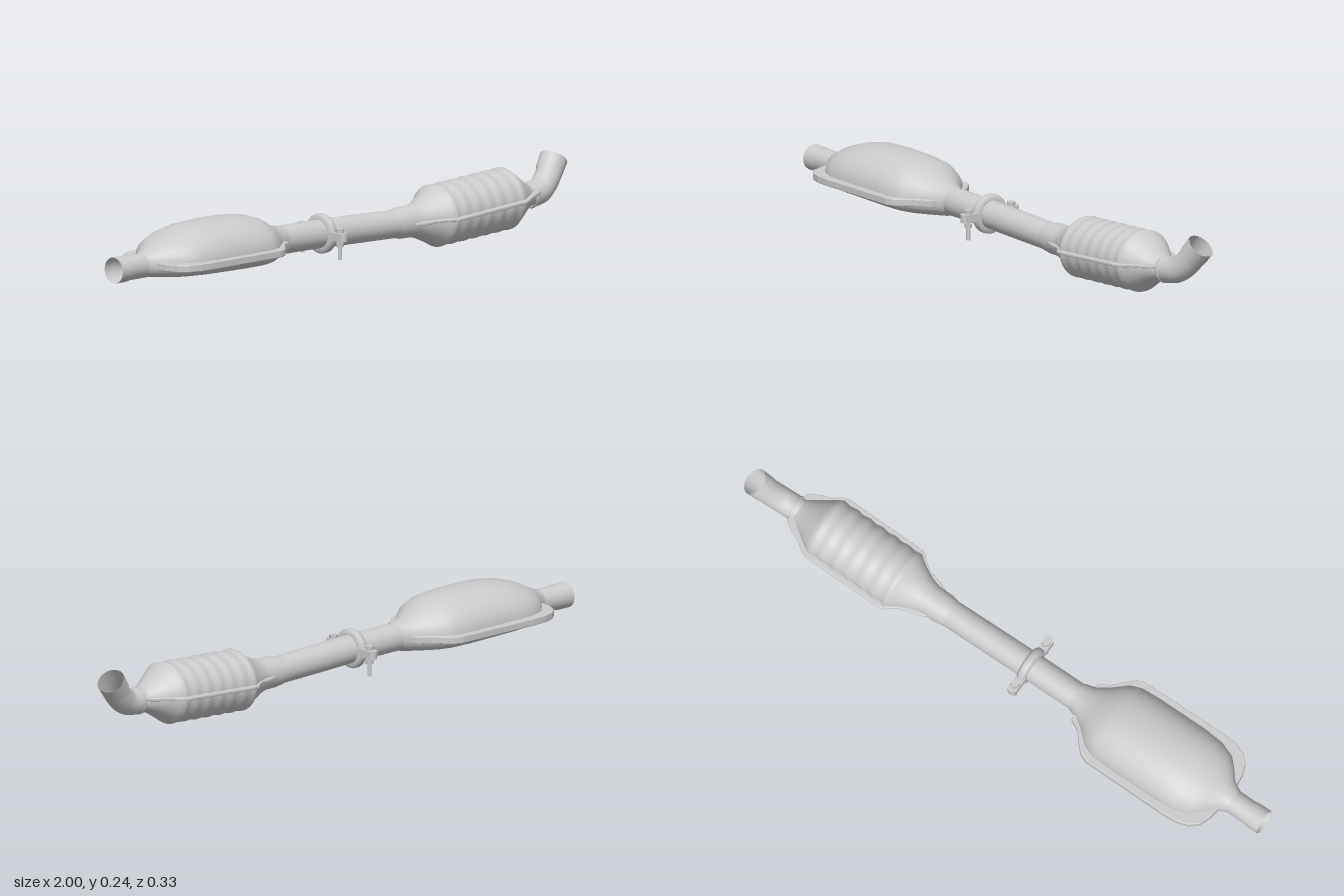
import * as THREE from 'three';

const metal = new THREE.MeshStandardMaterial({ color: 0xcccccc, side: THREE.DoubleSide });

function add(parent, name, geometry, x = 0, y = 0, z = 0) {
  const mesh = new THREE.Mesh(geometry, metal);
  mesh.name = name;
  mesh.position.set(x, y, z);
  parent.add(mesh);
  return mesh;
}

// Open shell along x; each station is [x, half width, top, bottom, seam height].
// Upper and lower halves are separate half ellipses meeting at the seam.
function loft(stations, sides = 32, power = 1) {
  const pos = [], index = [];
  const bend = (v) => Math.sign(v) * Math.pow(Math.abs(v), power);
  stations.forEach(([x, w, top, bottom, seam], i) => {
    for (let j = 0; j < sides; j++) {
      const a = (j / sides) * Math.PI * 2;
      const s = bend(Math.sin(a));
      pos.push(x, seam + s * (s > 0 ? top - seam : seam - bottom), w * bend(Math.cos(a)));
      if (i === stations.length - 1) continue;
      const k = (j + 1) % sides, p = i * sides, q = p + sides;
      index.push(p + j, q + j, p + k, q + j, q + k, p + k);
    }
  });
  const g = new THREE.BufferGeometry();
  g.setAttribute('position', new THREE.Float32BufferAttribute(pos, 3));
  g.setIndex(index);
  g.computeVertexNormals();
  return g;
}

const round = (x, y, r) => [x, r, y + r, y - r, y];

// Flat lip, mirrored in z, from an [x, half width] outline
function lip(outline, thickness) {
  const back = outline.map(([x, w]) => [x, -w]).reverse();
  const shape = new THREE.Shape([...outline, ...back].map(([x, z]) => new THREE.Vector2(x, z)));
  const g = new THREE.ExtrudeGeometry(shape, {
    depth: thickness - 0.006, bevelEnabled: true, bevelSize: 0.003, bevelThickness: 0.003, bevelSegments: 2,
  });
  return g.rotateX(Math.PI / 2).translate(0, thickness / 2 - 0.003, 0);
}

export function createModel() {
  const model = new THREE.Group();
  model.name = 'exhaustSection';

  // Tail pipe with a slightly flared mouth
  add(model, 'tailPipe', loft([
    round(-1, 0.105, 0.042), round(-0.96, 0.105, 0.042), round(-0.94, 0.105, 0.039), round(-0.8, 0.107, 0.04),
  ], 24));

  // Pressed muffler: domed upper shell, shallow lower shell
  add(model, 'muffler', loft([
    [-0.88, 0.04, 0.146, 0.068, 0.105],
    [-0.85, 0.055, 0.156, 0.066, 0.105],
    [-0.82, 0.09, 0.172, 0.063, 0.105],
    [-0.79, 0.12, 0.188, 0.06, 0.105],
    [-0.74, 0.138, 0.205, 0.057, 0.105],
    [-0.68, 0.143, 0.217, 0.054, 0.105],
    [-0.6, 0.143, 0.221, 0.052, 0.105],
    [-0.5, 0.143, 0.22, 0.05, 0.105],
    [-0.43, 0.14, 0.213, 0.05, 0.105],
    [-0.39, 0.125, 0.2, 0.051, 0.105],
    [-0.35, 0.09, 0.178, 0.053, 0.105],
    [-0.31, 0.06, 0.161, 0.057, 0.107],
    [-0.27, 0.047, 0.156, 0.063, 0.11],
  ], 40, 0.93));
  add(model, 'mufflerSeam', lip([
    [-0.855, 0.045], [-0.85, 0.085], [-0.835, 0.125], [-0.81, 0.147], [-0.77, 0.16], [-0.72, 0.163],
    [-0.42, 0.16], [-0.395, 0.15], [-0.37, 0.125], [-0.34, 0.09], [-0.305, 0.072], [-0.3, 0.045],
  ], 0.024), 0, 0.106, 0);

  // Link pipe
  add(model, 'linkPipe', loft([
    round(-0.3, 0.11, 0.046), round(-0.1, 0.108, 0.046), round(0.05, 0.103, 0.046),
    round(0.27, 0.096, 0.045), round(0.36, 0.096, 0.045),
  ], 24));

  // Ribbed converter can between two cones
  const can = [
    [0.22, 0.046, 0.143, 0.051, 0.097],
    [0.25, 0.051, 0.148, 0.047, 0.097],
    [0.3, 0.052, 0.149, 0.046, 0.098],
    [0.33, 0.06, 0.155, 0.036, 0.099],
    [0.37, 0.08, 0.176, 0.019, 0.101],
    [0.395, 0.096, 0.194, 0.007, 0.102],
  ];
  for (let i = 0; i <= 30; i++) {
    const t = i / 30;
    const rib = 0.002 * Math.cos(t * Math.PI * 12);
    can.push([0.405 + t * 0.3, 0.103 + rib, 0.2 + t * 0.016 + rib, 0.003 + t * 0.016 - rib, 0.103 + t * 0.016]);
  }
  can.push(
    [0.72, 0.097, 0.208, 0.028, 0.119],
    [0.75, 0.078, 0.187, 0.047, 0.12],
    [0.78, 0.058, 0.166, 0.066, 0.118],
    [0.81, 0.042, 0.15, 0.077, 0.114],
    [0.84, 0.036, 0.146, 0.082, 0.114],
  );
  add(model, 'converter', loft(can, 40));
  const seam = add(model, 'converterSeam', lip([
    [-0.27, 0.052], [-0.24, 0.064], [-0.2, 0.074], [-0.17, 0.09], [-0.145, 0.113], [-0.12, 0.117],
    [0.15, 0.117], [0.17, 0.109], [0.2, 0.088], [0.24, 0.07], [0.265, 0.055], [0.27, 0.04],
  ], 0.011), 0.55, 0.112, 0);
  seam.rotation.z = 0.065;

  // Upturned inlet pipe and its weld bead
  const path = new THREE.CatmullRomCurve3([
    [0.81, 0.113, 0], [0.87, 0.122, -0.004], [0.91, 0.15, -0.014], [0.96, 0.212, -0.031],
  ].map((p) => new THREE.Vector3(...p)));
  add(model, 'inletPipe', new THREE.TubeGeometry(path, 20, 0.042, 20));
  const mouth = add(model, 'inletMouth', new THREE.CylinderGeometry(0.046, 0.044, 0.05, 20, 1, true), 0.944, 0.193, -0.026);
  mouth.quaternion.setFromUnitVectors(new THREE.Vector3(0, 1, 0), path.getTangent(1));
  add(model, 'weldBead', new THREE.TorusGeometry(0.039, 0.005, 8, 24).rotateY(Math.PI / 2), 0.825, 0.114, 0);

  // Pipe clamp: collar, side ears and upright bolts
  const clamp = new THREE.Group();
  clamp.name = 'clamp';
  clamp.position.set(-0.09, 0.108, 0);
  model.add(clamp);
  add(clamp, 'collar', new THREE.LatheGeometry(
    [[0.046, -0.015], [0.058, -0.015], [0.064, -0.007], [0.064, 0.007], [0.058, 0.015], [0.046, 0.015]]
      .map(([r, h]) => new THREE.Vector2(r, h)), 28).rotateZ(Math.PI / 2));
  for (const s of [-1, 1]) {
    add(clamp, 'ear', new THREE.BoxGeometry(0.032, 0.026, 0.052), 0, 0, s * 0.079);
    add(clamp, 'earTip', new THREE.CylinderGeometry(0.016, 0.016, 0.026, 16), 0, 0, s * 0.098);
    add(clamp, 'bolt', new THREE.CylinderGeometry(0.007, 0.007, 0.1, 12), 0, -0.023, s * 0.086);
    add(clamp, 'boltHead', new THREE.CylinderGeometry(0.014, 0.014, 0.013, 6), 0, 0.02, s * 0.086);
    add(clamp, 'nut', new THREE.CylinderGeometry(0.013, 0.013, 0.014, 6), 0, -0.025, s * 0.086);
  }
  return model;
}
